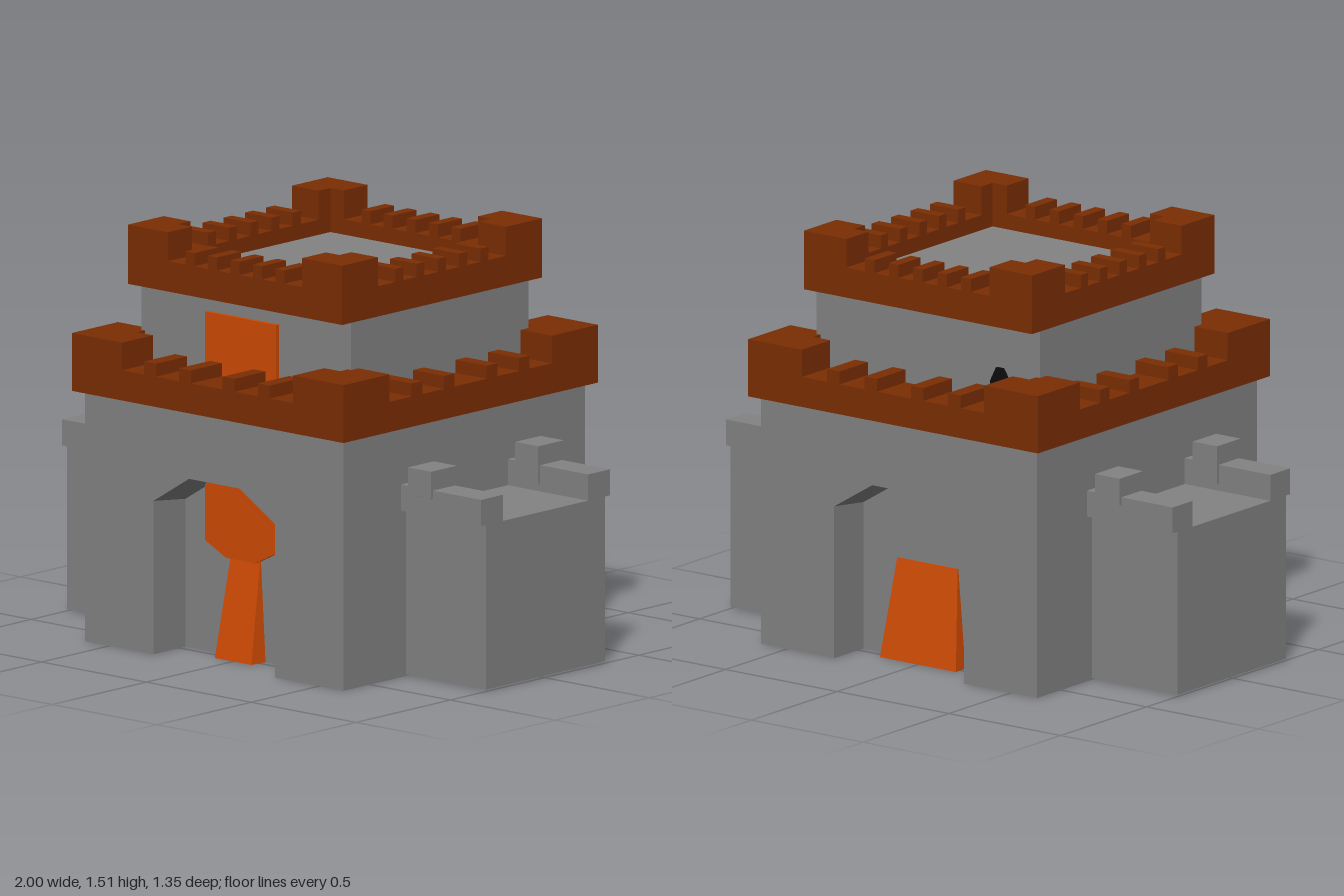
import * as THREE from 'three';

const mat = (color) => new THREE.MeshStandardMaterial({ color, flatShading: true });

export function createModel() {
  const castle = new THREE.Group();
  castle.name = 'castle';
  const stone = mat(0x828282);
  const brick = mat(0x7b2d03);
  const wood = mat(0xce4a03);
  const dark = mat(0x0c0c0c);

  const add = (name, geometry, material, parent = castle) => {
    const mesh = new THREE.Mesh(geometry, material);
    mesh.name = name;
    parent.add(mesh);
    return mesh;
  };
  // Box given by its limits on each axis
  const box = (name, x0, x1, y0, y1, z0, z1, material, parent) => {
    const g = new THREE.BoxGeometry(x1 - x0, y1 - y0, z1 - z0);
    g.translate((x0 + x1) / 2, (y0 + y1) / 2, (z0 + z1) / 2);
    return add(name, g, material, parent);
  };
  const polygon = (points) => new THREE.Shape(points.map(([x, y]) => new THREE.Vector2(x, y)));
  // Upright outline pushed along z
  const extrudeZ = (shape, z0, z1, steps = 1) =>
    new THREE.ExtrudeGeometry(shape, { depth: z1 - z0, steps, bevelEnabled: false }).translate(0, 0, z0);
  // Ground plan raised along y
  const extrudeY = (shape, y0, y1) =>
    new THREE.ExtrudeGeometry(shape, { depth: y1 - y0, bevelEnabled: false })
      .rotateX(-Math.PI / 2).translate(0, y0, 0);

  // Lower storey with an arched recess front and back
  const walls = extrudeZ(polygon([
    [-0.617, 0], [-0.29, 0], [-0.29, 0.557], [-0.12, 0.662], [0.12, 0.662], [0.29, 0.557],
    [0.29, 0], [0.617, 0], [0.617, 1], [-0.617, 1],
  ]), -0.64, 0.64, 2);
  // The arch ceiling slopes down towards the middle
  const wallPos = walls.attributes.position;
  for (let i = 0; i < wallPos.count; i++) {
    const y = wallPos.getY(i);
    if (Math.abs(wallPos.getZ(i)) < 0.01 && y > 0.5 && y < 0.7) wallPos.setY(i, y - 0.075);
  }
  walls.computeVertexNormals();
  add('lowerWalls', walls, stone);

  // Inner tower: closes the recesses and rises as the upper storey
  box('innerTower', -0.5, 0.5, 0.001, 1.35, -0.47, 0.47, stone);

  // Ring wall with raised L-shaped corners and small merlons
  const parapet = (name, o) => {
    const group = new THREE.Group();
    group.name = name;
    castle.add(group);
    const { x, z, t } = o;
    const ring = polygon([[-x, -z], [x, -z], [x, z], [-x, z]]);
    ring.holes.push(polygon([[t - x, t - z], [t - x, z - t], [x - t, z - t], [x - t, t - z]]));
    add('parapetRing', extrudeY(ring, o.base, o.rim), brick, group);
    for (const sx of [-1, 1]) {
      for (const sz of [-1, 1]) {
        const corner = [[x, z], [o.cx, z], [o.cx, z - t], [x - t, z - t], [x - t, o.cz], [x, o.cz]];
        add('cornerBattlement',
          extrudeY(polygon(corner.map(([a, b]) => [a * sx, b * sz])), o.rim, o.top), brick, group);
      }
    }
    const h = o.merlon / 2;
    for (const s of [-1, 1]) {
      const mx = s * (x - t / 2);
      const mz = s * (z - t / 2);
      for (const p of o.frontAt)
        box('merlon', p - h, p + h, o.rim, o.merlonTop, mz - t / 2, mz + t / 2, brick, group);
      for (const p of o.sideAt)
        box('merlon', mx - t / 2, mx + t / 2, o.rim, o.merlonTop, p - h, p + h, brick, group);
    }
  };
  parapet('lowerParapet', {
    x: 0.648, z: 0.675, t: 0.165, base: 0.91, rim: 1.02, top: 1.12, cx: 0.408, cz: 0.43,
    merlon: 0.056, merlonTop: 1.067,
    frontAt: [-0.275, -0.108, 0.1, 0.268], sideAt: [-0.285, -0.113, 0.113, 0.285],
  });
  parapet('upperParapet', {
    x: 0.511, z: 0.53, t: 0.127, base: 1.295, rim: 1.405, top: 1.51, cx: 0.32, cz: 0.34,
    merlon: 0.043, merlonTop: 1.453,
    frontAt: [-0.215, -0.108, 0, 0.108, 0.215], sideAt: [-0.225, -0.113, 0, 0.113, 0.225],
  });

  // Side wings with a low wall and a merlon on each long edge
  for (const s of [-1, 1]) {
    const wing = new THREE.Group();
    wing.name = s > 0 ? 'leftWing' : 'rightWing';
    castle.add(wing);
    const part = (name, x0, x1, ...rest) =>
      box(name, Math.min(s * x0, s * x1), Math.max(s * x0, s * x1), ...rest, stone, wing);
    part('wingBlock', 0.6, 1, 0.007, 0.605, -0.32, 0.31);
    for (const e of [-1, 1]) {
      const c = -0.006 + e * 0.284;
      part('wingWall', 0.6, 1, 0.605, 0.7, c - 0.058, c + 0.058);
      const merlon = part('wingMerlon', 0.66, 0.77, 0.672, 0.77, c - 0.068, c + 0.068);
      // Underside slopes down to the inner edge
      const p = merlon.geometry.attributes.position;
      for (let i = 0; i < p.count; i++)
        if (p.getY(i) < 0.7 && e * (p.getZ(i) - c) < 0) p.setY(i, 0.63);
    }
  }

  // Raised gate, its pointed foot hanging into the front arch
  add('raisedGate', extrudeZ(polygon([
    [-0.17, 1.24], [-0.17, 0.41], [-0.07, 0.36], [0.07, 0.36], [0.17, 0.41], [0.17, 1.24],
  ]), 0.485, 0.5), wood);

  // Tapered wooden ramp running from the front recess to the back one
  const ramp = new THREE.BoxGeometry(2, 0.36, 2);
  const pos = ramp.attributes.position;
  for (let i = 0; i < pos.count; i++) {
    const upper = pos.getY(i) > 0;
    const front = pos.getZ(i) > 0;
    const halfWidth = front ? (upper ? 0.07 : 0.087) : (upper ? 0.135 : 0.17);
    const z = front ? (upper ? 0.475 : 0.54) : (upper ? -0.475 : -0.53);
    pos.setXYZ(i, Math.sign(pos.getX(i)) * halfWidth, upper ? 0.36 : 0, z);
  }
  ramp.computeVertexNormals();
  add('gateRamp', ramp, wood);

  // Dark pointed windows of the upper storey
  const slit = (top, z0, z1) => add('window', extrudeZ(polygon([
    [-0.37, 0.94], [-0.28, 0.94], [-0.285, top - 0.05], [-0.31, top], [-0.34, top], [-0.365, top - 0.04],
  ]), z0, z1), dark);
  slit(1.05, 0.46, 0.478);
  slit(1.13, -0.48, -0.46);

  return castle;
}
